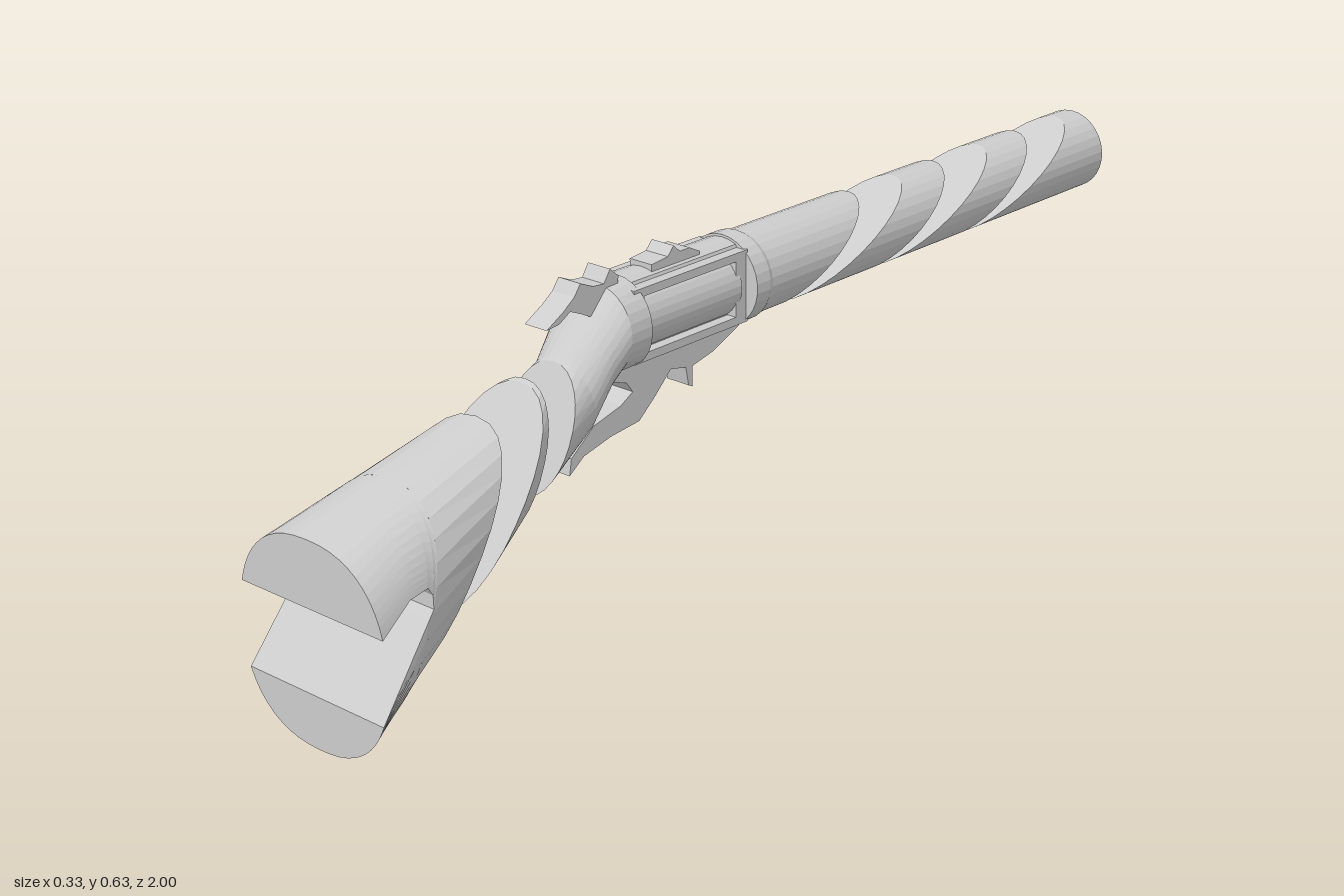
import * as THREE from 'three';

const grey = new THREE.MeshStandardMaterial({ color: 0xcccccc });
grey.name = 'plainGrey';

const N = 15; // steps up each half of a cross-section

// Section: runs from a bottom point to a top point in the z-y plane, with half width w.
// lo/hi keep only part of its height, clip flattens its sides.
const sec = (zt, yt, zb, yb, w, lo = 0, hi = 1, clip = 9) => ({ zt, yt, zb, yb, w, lo, hi, clip });

function ring(s, p) {
  const side = [];
  for (let i = 0; i <= N; i++) {
    const u = s.lo + (s.hi - s.lo) * (1 - Math.cos(Math.PI * i / N)) / 2;
    const x = s.w * Math.pow(Math.max(0, 1 - Math.pow(Math.abs(2 * u - 1), p)), 1 / p);
    side.push([Math.min(x, s.clip), s.yb + (s.yt - s.yb) * u, s.zb + (s.zt - s.zb) * u]);
  }
  return [...side, ...side.slice().reverse().map(([x, y, z]) => [-x, y, z])];
}

// Faceted, capped solid through sections listed in order of rising z
function loft(sections, p = 2) {
  const rings = sections.map(s => ring(s, p));
  const n = rings[0].length, last = rings.length - 1, pos = [];
  const tri = (...pts) => pts.forEach(q => pos.push(...q));
  for (let s = 0; s < last; s++) {
    for (let i = 0; i < n; i++) {
      const j = (i + 1) % n;
      const a = rings[s][i], b = rings[s][j], c = rings[s + 1][j], d = rings[s + 1][i];
      tri(a, b, c);
      tri(a, c, d);
    }
  }
  for (let i = 1; i < n - 1; i++) {
    tri(rings[0][0], rings[0][i + 1], rings[0][i]);
    tri(rings[last][0], rings[last][i], rings[last][i + 1]);
  }
  const g = new THREE.BufferGeometry();
  g.setAttribute('position', new THREE.Float32BufferAttribute(pos, 3));
  g.computeVertexNormals();
  return g;
}

// Side outline in (z, y), extruded across x
function plate(points, width, x = 0, hole) {
  const shape = new THREE.Shape(points.map(q => new THREE.Vector2(...q)));
  if (hole) shape.holes.push(new THREE.Path(hole.map(q => new THREE.Vector2(...q))));
  const g = new THREE.ExtrudeGeometry(shape, { depth: width, bevelEnabled: false });
  return g.translate(0, 0, -width / 2).rotateY(-Math.PI / 2).translate(x, 0, 0);
}

const rect = (z0, z1, y0, y1) => [[z0, y0], [z1, y0], [z1, y1], [z0, y1]];

export function createModel() {
  const model = new THREE.Group();
  const add = (name, geometry) => {
    const m = new THREE.Mesh(geometry, grey);
    m.name = name;
    model.add(m);
  };

  // Tube pieces with slanted cuts: [far top, far bottom, near top, near bottom]
  const tube = (zt, zb, r = 0.0775) => sec(zt, 0.5325 + r, zb, 0.5325 - r, r);
  [
    [-1, -1, -0.945, -0.61],
    [-0.81, -0.575, -0.69, -0.355],
    [-0.55, -0.315, -0.43, -0.10],
  ].forEach(([a, b, c, d]) => add('tubeSlice', loft([tube(a, b), tube(c, d)])));
  add('tubeBase', loft([tube(-0.3, -0.05), tube(0, 0), tube(0.01, 0.01, 0.082), tube(0.045, 0.045, 0.082)]));

  // Middle body with framed side windows
  const core = z => sec(z, 0.61, z, 0.455, 0.0775, 0, 1, 0.035);
  add('bodyCore', loft([core(0.03), core(0.33)]));
  add('innerCylinder', loft([tube(0.06, 0.06, 0.06), tube(0.31, 0.31, 0.06)]));
  for (const side of [-1, 1]) {
    add('windowFrame', plate(rect(0.04, 0.325, 0.467, 0.598), 0.026, side * 0.042,
      rect(0.07, 0.30, 0.482, 0.583).reverse()));
  }

  // Grip, bending down from the body
  add('grip', loft([
    sec(0.31, 0.612, 0.31, 0.45, 0.082),
    sec(0.36, 0.61, 0.36, 0.45, 0.083),
    sec(0.405, 0.562, 0.385, 0.425, 0.076),
    sec(0.455, 0.505, 0.42, 0.365, 0.069),
    sec(0.46, 0.50, 0.545, 0.288, 0.077),
  ], 2.1));

  // Slanted wedge between grip and butt
  add('stockWedge', loft([
    sec(0.527, 0.49, 0.627, 0.24, 0.086),
    sec(0.535, 0.486, 0.767, 0.155, 0.108),
  ], 2.2));

  // Butt: solid front, then two lobes around a notch
  const mix = THREE.MathUtils.lerp;
  const butt = (t, lo = 0, hi = 1) => sec(mix(0.638, 1, t), mix(0.458, 0.365, t),
    mix(0.89, 1, t), mix(0.075, 0.003, t), mix(0.122, 0.17, t), lo, hi);
  add('butt', loft([butt(0), butt(0.52)], 2.35));
  add('buttUpperLobe', loft([butt(0.52, 0.57), butt(0.55, 0.64), butt(0.6, 0.69),
    butt(0.75, 0.715), butt(1, 0.672)], 2.35));
  add('buttLowerLobe', loft([butt(0.52, 0, 0.57), butt(0.56, 0, 0.54), butt(1, 0, 0.26)], 2.35));

  // Curled lever below the body
  add('lever', plate([
    [0.02, 0.462], [0.03, 0.448], [0.095, 0.42], [0.15, 0.408], [0.15, 0.37], [0.16, 0.375],
    [0.167, 0.41], [0.205, 0.418], [0.245, 0.38], [0.285, 0.347], [0.355, 0.34], [0.42, 0.325],
    [0.455, 0.30], [0.45, 0.33], [0.395, 0.372], [0.33, 0.388], [0.30, 0.405], [0.315, 0.425],
    [0.36, 0.44], [0.36, 0.462],
  ], 0.05));

  // Curled spur on top of the grip
  add('topSpur', plate([
    [0.50, 0.57], [0.47, 0.573], [0.445, 0.588], [0.42, 0.577], [0.40, 0.567], [0.34, 0.567],
    [0.33, 0.62], [0.35, 0.637], [0.365, 0.615], [0.39, 0.617], [0.42, 0.63], [0.435, 0.61],
    [0.46, 0.592],
  ].reverse(), 0.05));

  // Small ridge on top of the body
  add('topRidge', plate([
    [0.25, 0.605], [0.25, 0.618], [0.21, 0.622], [0.195, 0.638], [0.18, 0.624], [0.155, 0.624],
    [0.13, 0.612], [0.13, 0.605],
  ], 0.05));

  return model;
}
